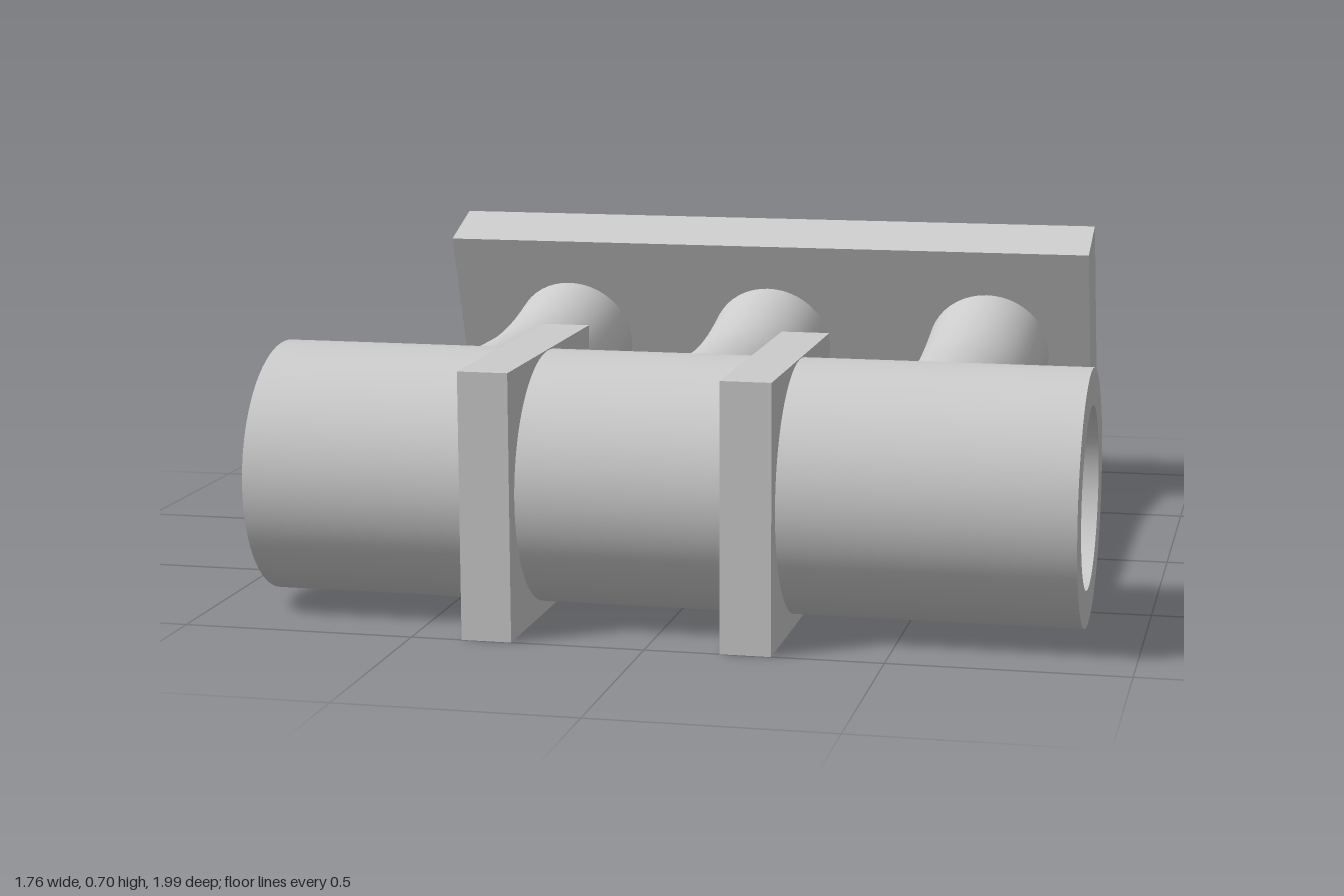
import * as THREE from 'three';
import { toCreasedNormals } from 'three/addons/utils/BufferGeometryUtils.js';

export function createModel() {
  const model = new THREE.Group();
  model.name = 'pipeManifold';
  const material = new THREE.MeshStandardMaterial({ color: 0xcccccc });

  const add = (name, geometry, x, y, z, parent = model) => {
    const mesh = new THREE.Mesh(geometry, material);
    mesh.name = name;
    mesh.position.set(x, y, z);
    parent.add(mesh);
    return mesh;
  };

  // Main header: closed at one end, with a blind bore at the other
  const profile = [
    [0, -0.88], [0.272, -0.88], [0.272, 0.88],
    [0.193, 0.88], [0.193, 0.66], [0, 0.66],
  ].map(([r, h]) => new THREE.Vector2(r, h));
  const header = toCreasedNormals(new THREE.LatheGeometry(profile, 72), 0.6);
  add('header', header, 0, 0.293, 0.69).rotation.z = -Math.PI / 2;

  // Square support brackets around the header
  for (const x of [-0.337, 0.213]) {
    add('bracket', new THREE.BoxGeometry(0.107, 0.567, 0.65), x, 0.2835, 0.675);
  }

  // Branch pipes: straight out of the header, then curving upward
  const bend = THREE.MathUtils.degToRad(26);
  const end = new THREE.Vector3(0, 0.515, -0.925);
  const bendStart = new THREE.Vector3(0, 0.317, -0.09);
  const path = new THREE.CurvePath();
  path.add(new THREE.LineCurve3(new THREE.Vector3(0, 0.317, 0.55), bendStart));
  path.add(new THREE.QuadraticBezierCurve3(bendStart, new THREE.Vector3(0, 0.317, -0.519), end));
  const pipeGeometry = new THREE.TubeGeometry(path, 60, 0.156, 48);
  const capGeometry = new THREE.CircleGeometry(0.156, 48);

  for (const x of [-0.57, -0.051, 0.505]) {
    const branch = new THREE.Group();
    branch.name = 'branchPipe';
    branch.position.x = x;
    branch.scale.x = 0.97;
    model.add(branch);
    add('pipe', pipeGeometry, 0, 0, 0, branch);
    add('pipeEnd', capGeometry, end.x, end.y, end.z, branch).rotation.x = Math.PI + bend;
  }

  // Tilted flange plate joining the three branches
  add('flange', new THREE.BoxGeometry(1.628, 0.619, 0.16), -0.054, 0.38, -0.674).rotation.x = 0.344;

  return model;
}
